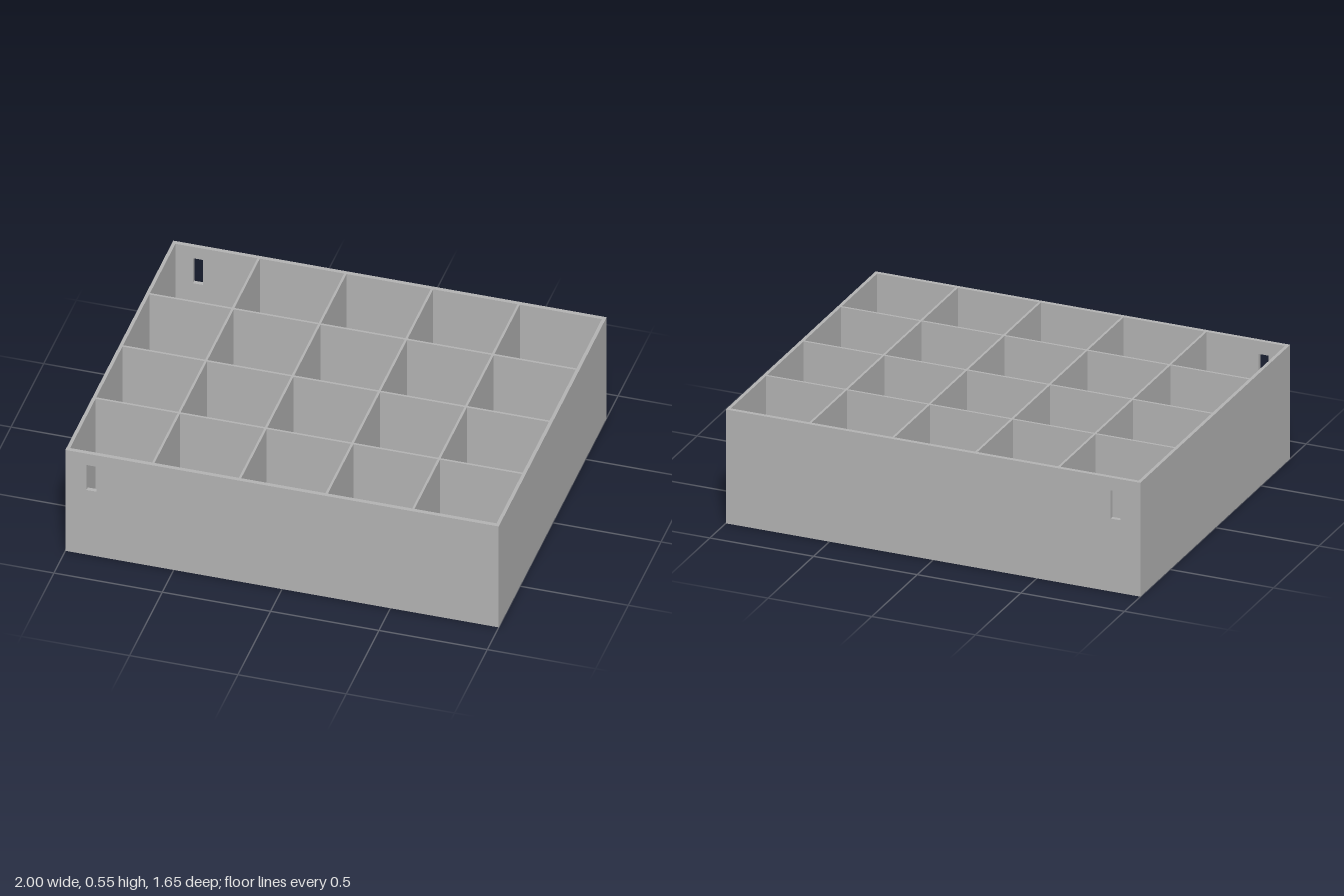
import * as THREE from 'three';

const W = 2, H = 0.55, D = 1.65;            // outer size
const SIDE = 0.016, END = 0.02, FLOOR = 0.02, DIVIDER = 0.011;
const COLS = 5, ROWS = 4, PITCH_X = 0.4, PITCH_Z = 0.411;

const rect = (Type, x0, y0, x1, y1) => new Type([
  new THREE.Vector2(x0, y0), new THREE.Vector2(x1, y0),
  new THREE.Vector2(x1, y1), new THREE.Vector2(x0, y1),
]);

export function createModel() {
  const group = new THREE.Group();
  const grey = new THREE.MeshStandardMaterial({ color: 0xb2b2b2 });
  grey.name = 'grey';

  const add = (name, geometry, x = 0, y = 0, z = 0) => {
    const mesh = new THREE.Mesh(geometry, grey);
    mesh.name = name;
    mesh.position.set(x, y, z);
    group.add(mesh);
    return mesh;
  };
  const extrude = (shape, depth) =>
    new THREE.ExtrudeGeometry(shape, { depth, bevelEnabled: false, curveSegments: 32 });

  // Floor with a round hole under each cell, except two at the back left
  const innerX = W / 2 - SIDE, innerZ = D / 2 - END;
  const floorShape = rect(THREE.Shape, -innerX, -innerZ, innerX, innerZ);
  for (let row = 0; row < ROWS; row++) {
    for (let col = 0; col < COLS; col++) {
      if (row === 0 && col > 2) continue;
      const x = (col - (COLS - 1) / 2) * PITCH_X;
      const z = (row - (ROWS - 1) / 2) * PITCH_Z;
      const hole = new THREE.Path();
      hole.absarc(x, -z, 0.0705, 0, Math.PI * 2, true);
      floorShape.holes.push(hole);
    }
  }
  add('floor', extrude(floorShape, FLOOR).rotateX(-Math.PI / 2));

  // Front and back walls, each with a narrow upright slot
  const wallShape = rect(THREE.Shape, -W / 2, 0, W / 2, H);
  wallShape.holes.push(rect(THREE.Path, -0.903, 0.352, -0.856, 0.488));
  const wall = extrude(wallShape, END);
  add('frontWall', wall, 0, 0, innerZ);
  add('backWall', wall, 0, 0, -D / 2);

  // Side walls
  const side = new THREE.BoxGeometry(SIDE, H, innerZ * 2);
  add('leftWall', side, W / 2 - SIDE / 2, H / 2);
  add('rightWall', side, -W / 2 + SIDE / 2, H / 2);

  // Dividers, standing on the floor and level with the rim
  const height = H - FLOOR, midY = FLOOR + height / 2;
  for (let i = 1; i < COLS; i++) {
    add('lengthwiseDivider', new THREE.BoxGeometry(DIVIDER, height, innerZ * 2),
      (i - COLS / 2) * PITCH_X, midY);
  }
  for (let i = 1; i < ROWS; i++) {
    add('crosswiseDivider', new THREE.BoxGeometry(innerX * 2, height, DIVIDER),
      0, midY, (i - ROWS / 2) * PITCH_Z);
  }
  return group;
}
